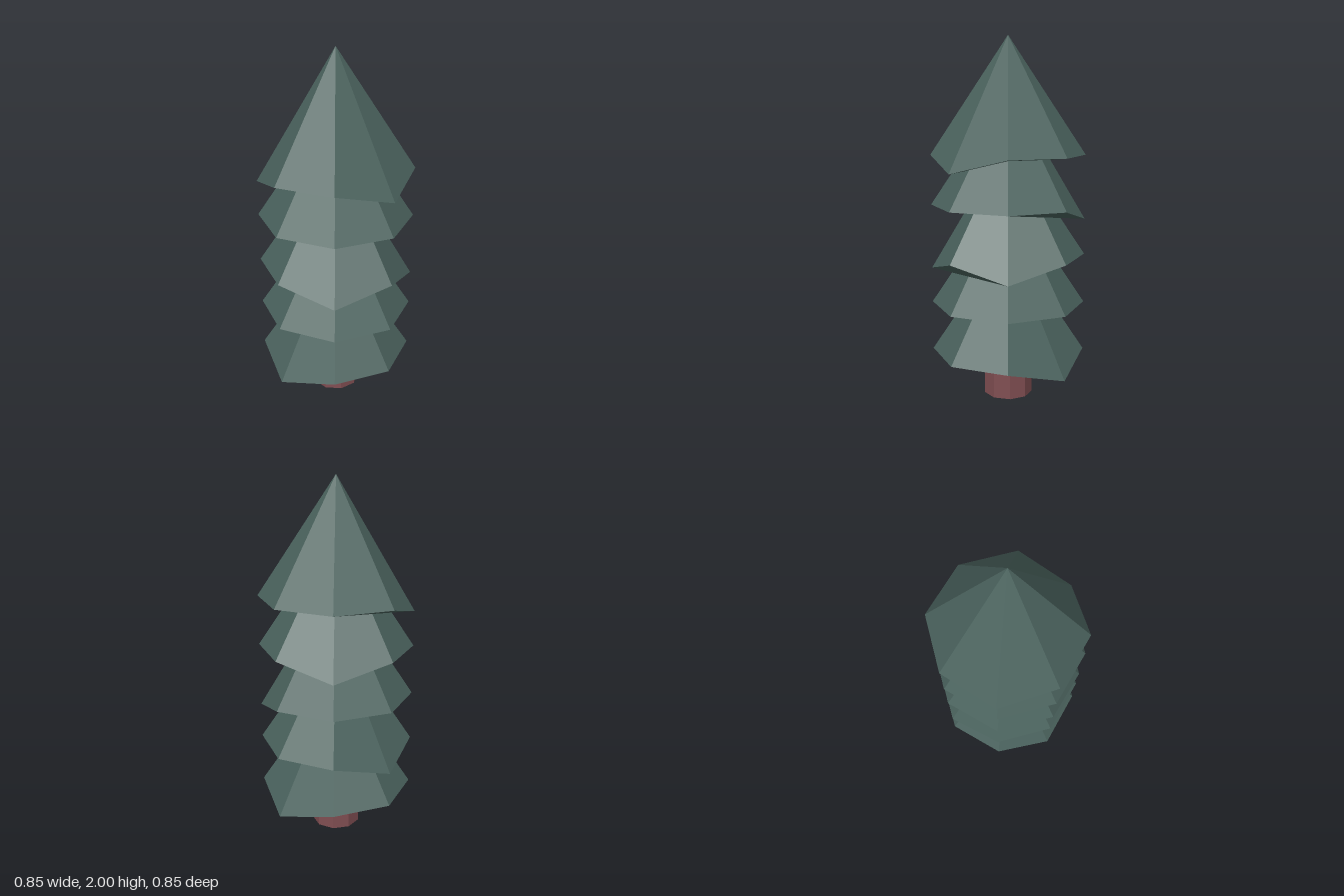
import * as THREE from 'three';

const SIDES = 8, RADIUS = 0.427, HEIGHT = 0.64, DROP = 0.08;

// Corners are numbered from the front (+z) towards +x in 45 degree steps.
// Each tier lists its base height and the corners that droop.
const TIERS = [
  { y: 1.36, droop: [7, 2] },
  { y: 1.084, droop: [5] },
  { y: 0.806, droop: [1, 3] },
  { y: 0.53, droop: [6] },
  { y: 0.254, droop: [0, 4] },
];

// Eight-sided cone with drooping corners; the underside fans out from the first one
function foliageGeometry({ y, droop }) {
  const corner = (i) => {
    const k = i % SIDES, a = (k / SIDES) * Math.PI * 2;
    return [Math.sin(a) * RADIUS, y - (droop.includes(k) ? DROP : 0), Math.cos(a) * RADIUS];
  };
  const apex = [0, y + HEIGHT, 0];
  const first = droop[0];
  const points = [];
  for (let i = 0; i < SIDES; i++) points.push(...corner(i), ...corner(i + 1), ...apex);
  for (let i = 1; i < SIDES - 1; i++) {
    points.push(...corner(first), ...corner(first + i + 1), ...corner(first + i));
  }
  const geometry = new THREE.BufferGeometry();
  geometry.setAttribute('position', new THREE.Float32BufferAttribute(points, 3));
  geometry.computeVertexNormals();
  return geometry;
}

export function createModel() {
  const tree = new THREE.Group();
  tree.name = 'pineTree';

  const needles = new THREE.MeshStandardMaterial({ color: 0x4a625d, flatShading: true });
  needles.name = 'needleGreen';
  const bark = new THREE.MeshStandardMaterial({ color: 0x804e52, flatShading: true });
  bark.name = 'barkBrown';

  // Foliage tiers from top to bottom
  TIERS.forEach((tier, i) => {
    const mesh = new THREE.Mesh(foliageGeometry(tier), needles);
    mesh.name = `foliageTier${i + 1}`;
    tree.add(mesh);
  });

  // Nine-sided trunk with a flat face to the front, running up into the lowest tier
  const trunk = new THREE.Mesh(new THREE.CylinderGeometry(0.136, 0.136, 0.4, 9), bark);
  trunk.name = 'trunk';
  trunk.position.y = 0.2;
  trunk.rotation.y = Math.PI;
  tree.add(trunk);

  return tree;
}
